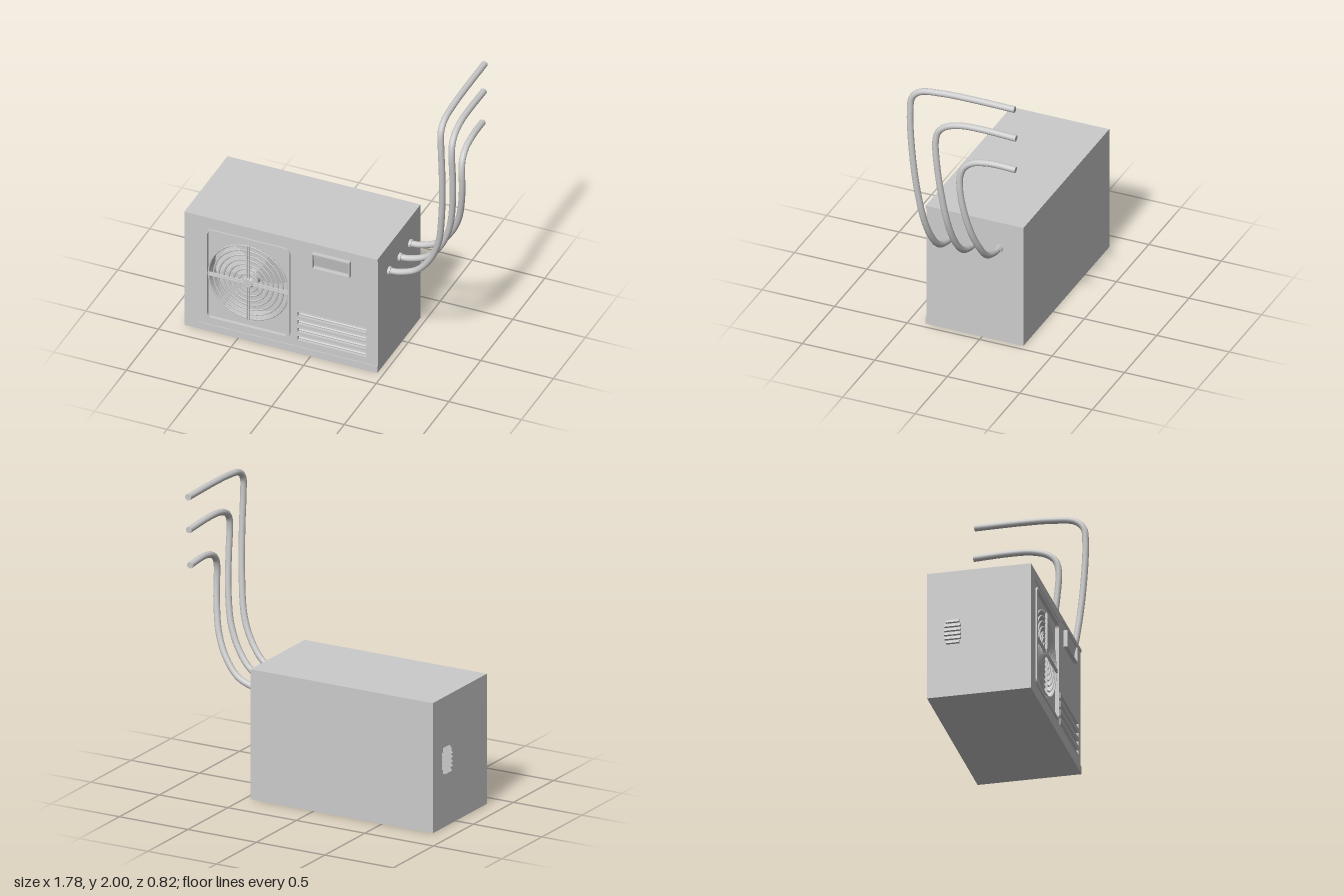
import * as THREE from 'three';

const grey = new THREE.MeshStandardMaterial({ color: 0xcccccc, side: THREE.DoubleSide });
const FAN = { x: -0.435, y: 0.435, r: 0.28 };
const X0 = -0.87, X1 = 0.46, TOP = 0.865;

function add(parent, name, geometry, x = 0, y = 0, z = 0) {
  const mesh = new THREE.Mesh(geometry, grey);
  mesh.name = name;
  mesh.position.set(x, y, z);
  parent.add(mesh);
  return mesh;
}

const polygon = points => new THREE.Shape(points.map(([x, y]) => new THREE.Vector2(x, y)));

// Rectangle outline with optional rounded corners, used for shapes and holes
function rect(x0, y0, x1, y1, r = 0) {
  if (r === 0) return polygon([[x0, y0], [x1, y0], [x1, y1], [x0, y1]]);
  const s = new THREE.Shape();
  s.absarc(x1 - r, y0 + r, r, -Math.PI / 2, 0, false);
  s.absarc(x1 - r, y1 - r, r, 0, Math.PI / 2, false);
  s.absarc(x0 + r, y1 - r, r, Math.PI / 2, Math.PI, false);
  s.absarc(x0 + r, y0 + r, r, Math.PI, Math.PI * 1.5, false);
  return s;
}

const slab = (shape, depth) => new THREE.ExtrudeGeometry(shape, { depth, bevelEnabled: false, curveSegments: 24 });

function fanUnit() {
  const g = new THREE.Group();
  g.name = 'fanUnit';
  g.position.set(FAN.x, FAN.y, 0);

  // Recessed square plate with the round opening
  const plate = rect(-0.285, -0.335, 0.285, 0.335, 0.035);
  plate.holes.push(new THREE.Path().absarc(0, 0, FAN.r, 0, Math.PI * 2, true));
  add(g, 'fanPlate', slab(plate, 0.11), 0, 0, 0.26);

  // Raised rim around the plate
  const rim = rect(-0.292, -0.342, 0.292, 0.342, 0.04);
  rim.holes.push(rect(-0.277, -0.327, 0.277, 0.327, 0.03));
  add(g, 'fanRim', slab(rim, 0.025), 0, 0, 0.37);

  // Concentric guard rings
  for (let i = 0; i < 7; i++) {
    add(g, 'guardRing', new THREE.TorusGeometry(0.065 + i * 0.035, 0.006, 6, 48), 0, 0, 0.375);
  }
  // Paired cross bars
  for (const d of [-0.008, 0.008]) {
    add(g, 'guardBar', new THREE.BoxGeometry(0.56, 0.007, 0.012), 0, d, 0.382);
    add(g, 'guardBar', new THREE.BoxGeometry(0.007, 0.56, 0.012), d, 0, 0.382);
  }
  add(g, 'guardHub', new THREE.CylinderGeometry(0.03, 0.04, 0.02, 32), 0, 0, 0.38).rotation.x = Math.PI / 2;
  add(g, 'fanHub', new THREE.CylinderGeometry(0.05, 0.055, 0.07, 32), 0, 0, 0.305).rotation.x = Math.PI / 2;

  // Pitched fan blades
  for (let i = 0; i < 3; i++) {
    const blade = new THREE.Shape();
    blade.moveTo(0.03, -0.03);
    blade.quadraticCurveTo(0.14, -0.13, 0.23, -0.09);
    blade.quadraticCurveTo(0.27, 0.03, 0.2, 0.13);
    blade.quadraticCurveTo(0.13, 0.05, 0.03, 0.03);
    const geo = slab(blade, 0.006);
    geo.rotateX(0.22);
    geo.rotateZ(i * Math.PI * 2 / 3 + 0.5);
    add(g, 'fanBlade', geo, 0, 0, 0.305);
  }
  return g;
}

// Pipe swept through [x, y, z] points, with an end cap and a wall collar
function pipe(points) {
  const g = new THREE.Group();
  g.name = 'pipe';
  const curve = new THREE.CatmullRomCurve3(points.map(p => new THREE.Vector3(...p)));
  add(g, 'pipeTube', new THREE.TubeGeometry(curve, 96, 0.021, 16));
  const [x, y, z] = points[0];
  add(g, 'pipeCollar', new THREE.CylinderGeometry(0.028, 0.028, 0.024, 20), x + 0.006, y, z).rotation.z = Math.PI / 2;
  const end = curve.getPoint(1);
  add(g, 'pipeEnd', new THREE.CircleGeometry(0.021, 16), end.x, end.y, end.z)
    .lookAt(end.clone().add(curve.getTangent(1)));
  return g;
}

export function createModel() {
  const model = new THREE.Group();
  model.name = 'outdoorAirConditioner';

  // Cabinet behind the front panel
  add(model, 'cabinet', new THREE.BoxGeometry(X1 - X0, TOP, 0.545), (X0 + X1) / 2, TOP / 2, -0.0125);

  // Front panel with fan, vent and display openings
  const vents = [0.1, 0.162, 0.222, 0.282];
  const front = rect(X0, 0, X1, TOP);
  front.holes.push(rect(-0.72, 0.1, -0.15, 0.77, 0.035));
  front.holes.push(rect(0.025, 0.695, 0.265, 0.79));
  vents.forEach(y => front.holes.push(rect(-0.09, y, 0.38, y + 0.03)));
  add(model, 'frontPanel', slab(front, 0.124), 0, 0, 0.26);

  // Shallow raised border, stepping up to the right of the fan
  const border = polygon([
    [X0, 0], [X1, 0], [X1, 0.05], [-0.77, 0.05], [-0.77, 0.8], [-0.1, 0.8],
    [-0.03, 0.845], [X1, 0.845], [X1, TOP], [X0, TOP],
  ]);
  add(model, 'frontBorder', slab(border, 0.006), 0, 0, 0.384);

  model.add(fanUnit());

  // Slanted slats and trims of the vents
  vents.forEach(y => {
    add(model, 'ventSlat', new THREE.BoxGeometry(0.47, 0.006, 0.05), 0.145, y + 0.013, 0.35).rotation.x = 0.45;
    const trim = rect(-0.096, y - 0.005, 0.386, y + 0.035);
    trim.holes.push(rect(-0.09, y, 0.38, y + 0.03));
    add(model, 'ventTrim', slab(trim, 0.005), 0, 0, 0.384);
  });

  // Display window: projecting frame around a tilted face
  const frame = rect(0.015, 0.685, 0.275, 0.8);
  frame.holes.push(rect(0.022, 0.692, 0.268, 0.793));
  add(model, 'displayFrame', slab(frame, 0.04), 0, 0, 0.37);
  add(model, 'displayFace', new THREE.BoxGeometry(0.25, 0.104, 0.006), 0.145, 0.742, 0.388).rotation.x = 0.2;

  // Louvres on the side wall, wider in the middle
  for (let i = 0; i < 6; i++) {
    const w = i === 0 || i === 5 ? 0.085 : 0.105;
    const tooth = polygon([[0, 0], [0, 0.024], [-0.02, 0]]);
    add(model, 'sideLouvre', slab(tooth, w), X0, 0.36 + i * 0.029, -0.118 - w / 2);
  }

  // Three pipes rising from the wall and turning to the back
  const rise = z => [[X1, 0.675, z], [0.53, 0.682, z], [0.65, 0.73, z], [0.745, 0.84, z + 0.012]];
  model.add(pipe([...rise(0.215),
    [0.815, 1.0, 0.245], [0.853, 1.25, 0.277], [0.868, 1.55, 0.305], [0.865, 1.8, 0.316], [0.86, 1.9, 0.305],
    [0.857, 1.952, 0.25], [0.854, 1.974, 0.1], [0.852, 1.979, -0.1], [0.85, 1.975, -0.4]]));
  model.add(pipe([...rise(0.05),
    [0.815, 1.0, 0.078], [0.852, 1.22, 0.105], [0.864, 1.45, 0.132], [0.862, 1.62, 0.142], [0.858, 1.69, 0.125],
    [0.853, 1.735, 0.075], [0.848, 1.765, -0.03], [0.845, 1.77, -0.18], [0.842, 1.76, -0.405]]));
  model.add(pipe([...rise(-0.115),
    [0.812, 0.98, -0.077], [0.848, 1.15, -0.045], [0.86, 1.3, -0.025], [0.857, 1.4, -0.025], [0.852, 1.465, -0.05],
    [0.847, 1.51, -0.11], [0.844, 1.53, -0.2], [0.84, 1.532, -0.28], [0.836, 1.525, -0.4]]));

  return model;
}
